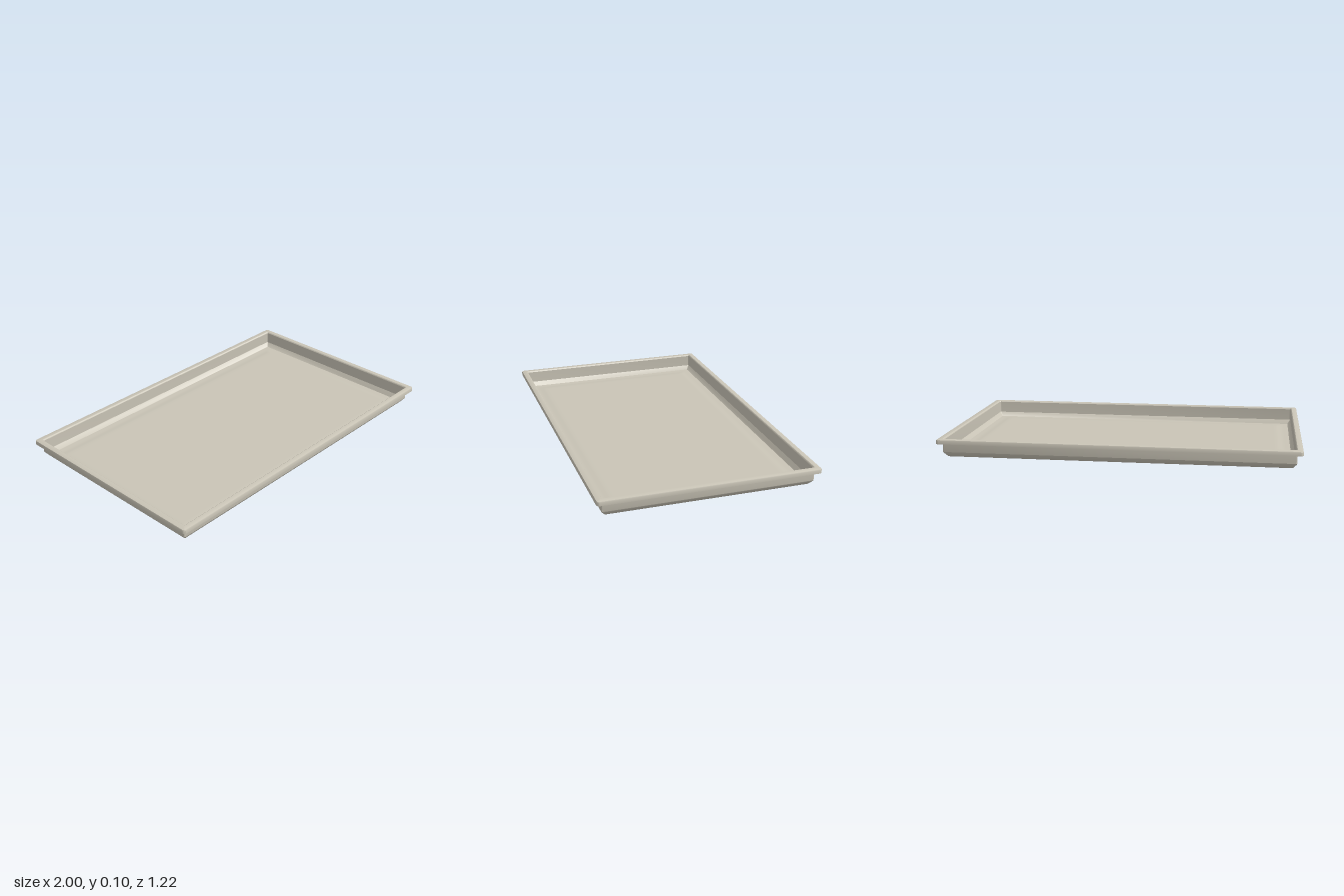
import * as THREE from 'three';
import { toCreasedNormals } from 'three/addons/utils/BufferGeometryUtils.js';

const HALF_X = 1, HALF_Z = 0.61, CORNER_STEPS = 4;

// Rounded rectangle, counterclockwise from above, inset from the outer edge
function ring([inset, y, radius]) {
  const points = [];
  const cx = HALF_X - inset - radius, cz = HALF_Z - inset - radius;
  [[1, 1], [-1, 1], [-1, -1], [1, -1]].forEach(([sx, sz], corner) => {
    for (let i = 0; i <= CORNER_STEPS; i++) {
      const a = (corner + i / CORNER_STEPS) * Math.PI / 2;
      points.push([sx * cx + radius * Math.cos(a), y, -sz * cz - radius * Math.sin(a)]);
    }
  });
  return points;
}

// Skin a list of rings, optionally capping the first or last one
function loft(profile, capStart, capEnd) {
  const rings = profile.map(ring);
  const n = rings[0].length;
  const positions = [];
  const tri = (a, b, c) => positions.push(...a, ...b, ...c);
  for (let r = 0; r < rings.length - 1; r++) {
    for (let j = 0; j < n; j++) {
      const k = (j + 1) % n;
      const a = rings[r][j], b = rings[r + 1][j], c = rings[r + 1][k], d = rings[r][k];
      tri(a, b, c);
      tri(a, c, d);
    }
  }
  for (let j = 0; j < n; j++) {
    const k = (j + 1) % n;
    if (capStart) tri([0, profile[0][1], 0], rings[0][j], rings[0][k]);
    const last = rings[rings.length - 1];
    if (capEnd) tri([0, profile[profile.length - 1][1], 0], last[k], last[j]);
  }
  const geometry = new THREE.BufferGeometry();
  geometry.setAttribute('position', new THREE.Float32BufferAttribute(positions, 3));
  return toCreasedNormals(geometry, 0.5);
}

export function createModel() {
  const group = new THREE.Group();
  group.name = 'tray';
  const metal = new THREE.MeshStandardMaterial({ color: 0xc9c4b6 });
  metal.name = 'warm grey metal';
  const add = (name, geometry) => {
    const mesh = new THREE.Mesh(geometry, metal);
    mesh.name = name;
    group.add(mesh);
  };

  // Each profile point: inset from the outer edge, height, corner radius

  // Inside: slightly raised floor panel, sloping foot and upright wall
  add('innerPan', loft([
    [0.15, 0.010, 0.02], [0.13, 0.010, 0.02], [0.115, 0.0085, 0.02],
    [0.10, 0.006, 0.02], [0.085, 0.005, 0.01], [0.075, 0.005, 0.005],
    [0.054, 0.005, 0.004], [0.036, 0.030, 0.005], [0.036, 0.098, 0.006],
  ], true, false));

  // Rolled rim with a lip hanging down around the edge, open beneath
  add('rim', loft([
    [0.036, 0.098, 0.006], [0.034, 0.102, 0.007], [0.030, 0.105, 0.008],
    [0.007, 0.105, 0.011], [0.002, 0.103, 0.014], [0, 0.098, 0.015],
    [0, 0.080, 0.015], [0.005, 0.080, 0.011], [0.005, 0.099, 0.011],
    [0.030, 0.099, 0.007],
  ], false, false));

  // Outside: wall, bevelled foot and underside following the floor panel
  add('outerPan', loft([
    [0.030, 0.099, 0.007], [0.030, 0.030, 0.007], [0.033, 0.024, 0.007],
    [0.050, 0.003, 0.006], [0.056, 0, 0.005], [0.075, 0, 0.005],
    [0.085, 0, 0.01], [0.10, 0.001, 0.02], [0.115, 0.0035, 0.02],
    [0.13, 0.005, 0.02], [0.15, 0.005, 0.02],
  ], false, true));

  return group;
}
